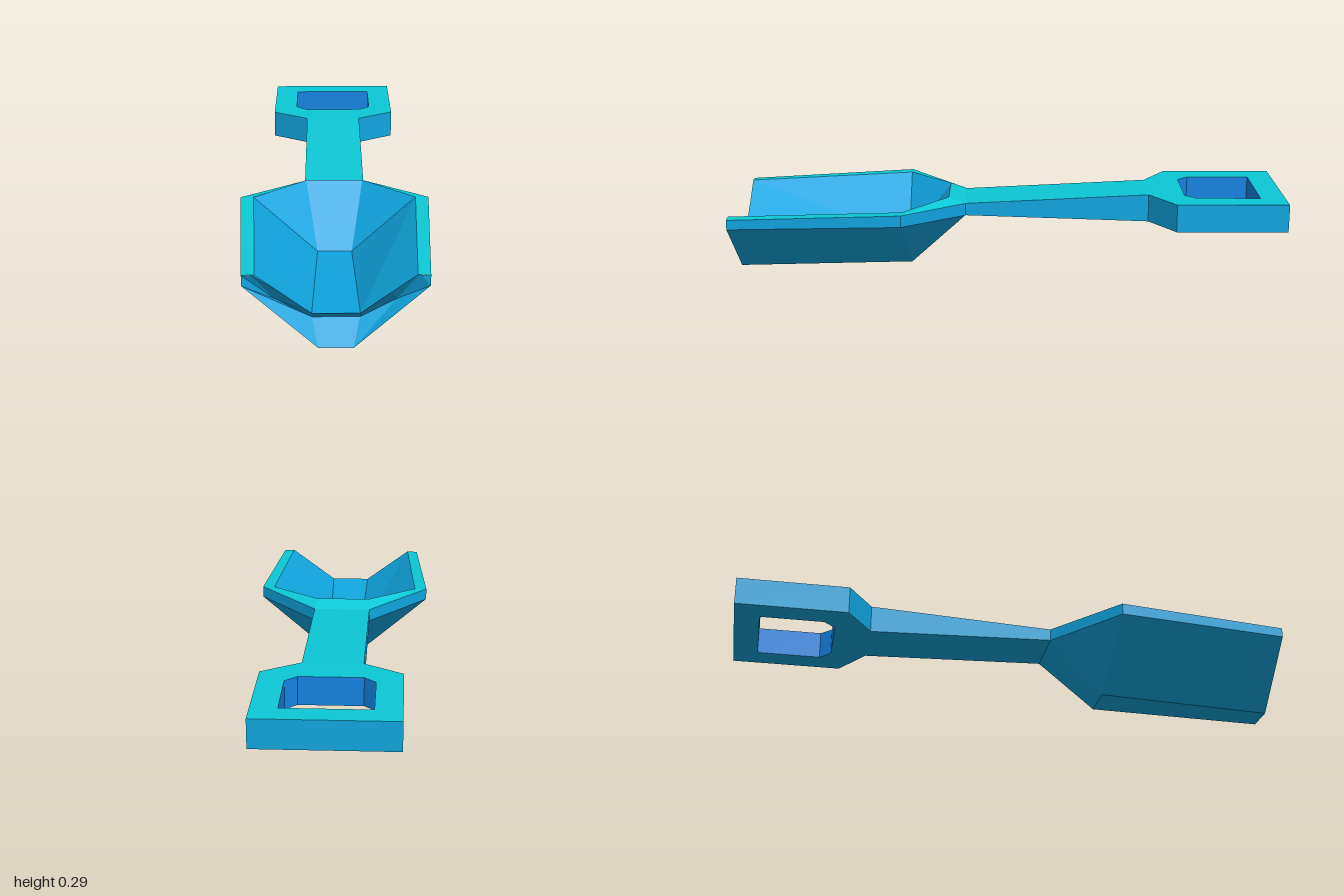
import * as THREE from 'three';

const mat = (name, color) => {
  const m = new THREE.MeshStandardMaterial({ color, flatShading: true });
  m.name = name;
  return m;
};

// Quads between two rows of points, facing (along row) x (row a to row b)
function strip(a, b) {
  const out = [];
  for (let i = 0; i < a.length - 1; i++) {
    out.push(a[i], a[i + 1], b[i + 1], a[i], b[i + 1], b[i]);
  }
  return out;
}

// Same strip on both sides of the model
const flip = row => row.map(([x, y, z]) => [-x, y, z]);
const bothSides = (a, b) => [...strip(a, b), ...strip(flip(b), flip(a))];

// Full cross-section from its +x half (rim to middle)
const full = half => [...flip(half), ...[...half].reverse()];

function mesh(name, points, material) {
  const g = new THREE.BufferGeometry();
  g.setAttribute('position', new THREE.Float32BufferAttribute(points.flat(), 3));
  g.computeVertexNormals();
  const m = new THREE.Mesh(g, material);
  m.name = name;
  return m;
}

export function createModel() {
  const group = new THREE.Group();
  group.name = 'toyShovel';
  const teal = mat('teal top', 0x0cc8d6);
  const blue = mat('blue body', 0x10a6e0);
  const deep = mat('deep blue', 0x1484e4);

  // Scoop rim, front to back on the +x side
  const rimOuter = [[0.29, 0.245, 1], [0.325, 0.272, 0.38], [0.105, 0.255, 0.16]];
  const rimInner = [[0.25, 0.247, 1], [0.28, 0.272, 0.38], [0.1, 0.278, 0.22]];
  const rimLower = [[0.29, 0.21, 1], [0.325, 0.23, 0.38], [0.105, 0.21, 0.16]];
  group.add(mesh('scoopRim', [
    ...bothSides(rimOuter, rimInner),
    ...strip(full([rimInner[2]]), full([rimOuter[2]])),
  ], teal));
  group.add(mesh('scoopRimSide', bothSides(rimLower, rimOuter), blue));

  // Scoop inside: floor, sloping walls and back wall
  const lip = full([rimInner[0], [0.17, 0.188, 1], [0.075, 0.118, 1]]);
  const floorFront = full([rimInner[0], [0.075, 0.118, 1]]);
  const floorBack = full([rimInner[1], [0.06, 0.07, 0.38]]);
  const backTop = full([rimInner[2], rimInner[2]]);
  group.add(mesh('scoopInside', [...strip(floorFront, floorBack), ...strip(floorBack, backTop)], blue));

  // Scoop underside
  const hullFront = full([rimLower[0], [0.055, 0, 1]]);
  const hullBack = full([rimLower[1], [0.07, 0.02, 0.36]]);
  const hullEnd = full([rimLower[2], rimLower[2]]);
  group.add(mesh('scoopUnderside', [...strip(hullBack, hullFront), ...strip(hullEnd, hullBack)], blue));

  // Grooved front edge between the underside and the inside
  const edge = full([rimOuter[0], rimLower[0], [0.055, 0, 1]]);
  const groove = full([[0.26, 0.246, 1], [0.19, 0.145, 0.95], [0.075, 0.083, 0.95]]);
  group.add(mesh('scoopFrontEdge', [...strip(edge, groove), ...strip(groove, lip)], blue));

  // Shaft, deepening towards the grip
  const top = 0.288, base = 0.187;
  const shaftTop = [rimOuter[2], [0.105, top, -0.51]];
  const shaftBase = [rimLower[2], [0.105, base, -0.51]];
  group.add(mesh('shaftTop', strip(full([shaftTop[0]]), full([shaftTop[1]])), teal));
  group.add(mesh('shaftBody', [
    ...bothSides(shaftBase, shaftTop),
    ...strip(full([shaftBase[1]]), full([shaftBase[0]])),
  ], blue));

  // Grip: outline and hole as [x, z]
  const half = [[0.105, -0.51], [0.24, -0.6], [0.24, -1]];
  const holeHalf = [[0.15, -0.91], [0.15, -0.68], [0.11, -0.64]];
  const mirror = pts => [...pts, ...[...pts].reverse().map(([x, z]) => [-x, z])];
  const outline = mirror(half), hole = mirror(holeHalf);
  const gripFace = (name, up, y, material) => {
    const pts = list => list.map(([x, z]) => new THREE.Vector2(x, -up * z));
    const shape = new THREE.Shape(pts(outline));
    shape.holes.push(new THREE.Path(pts(hole)));
    const m = new THREE.Mesh(new THREE.ShapeGeometry(shape).rotateX(-up * Math.PI / 2), material);
    m.position.y = y;
    m.name = name;
    group.add(m);
  };
  const at = (list, y) => list.map(([x, z]) => [x, y, z]);
  const holeLoop = [...hole, hole[0]];
  gripFace('gripTop', 1, top, teal);
  gripFace('gripUnderside', -1, base, blue);
  group.add(mesh('gripSides', strip(at(outline, base), at(outline, top)), blue));
  group.add(mesh('gripHole', strip(at(holeLoop, base), at(holeLoop, top)), deep));

  return group;
}
